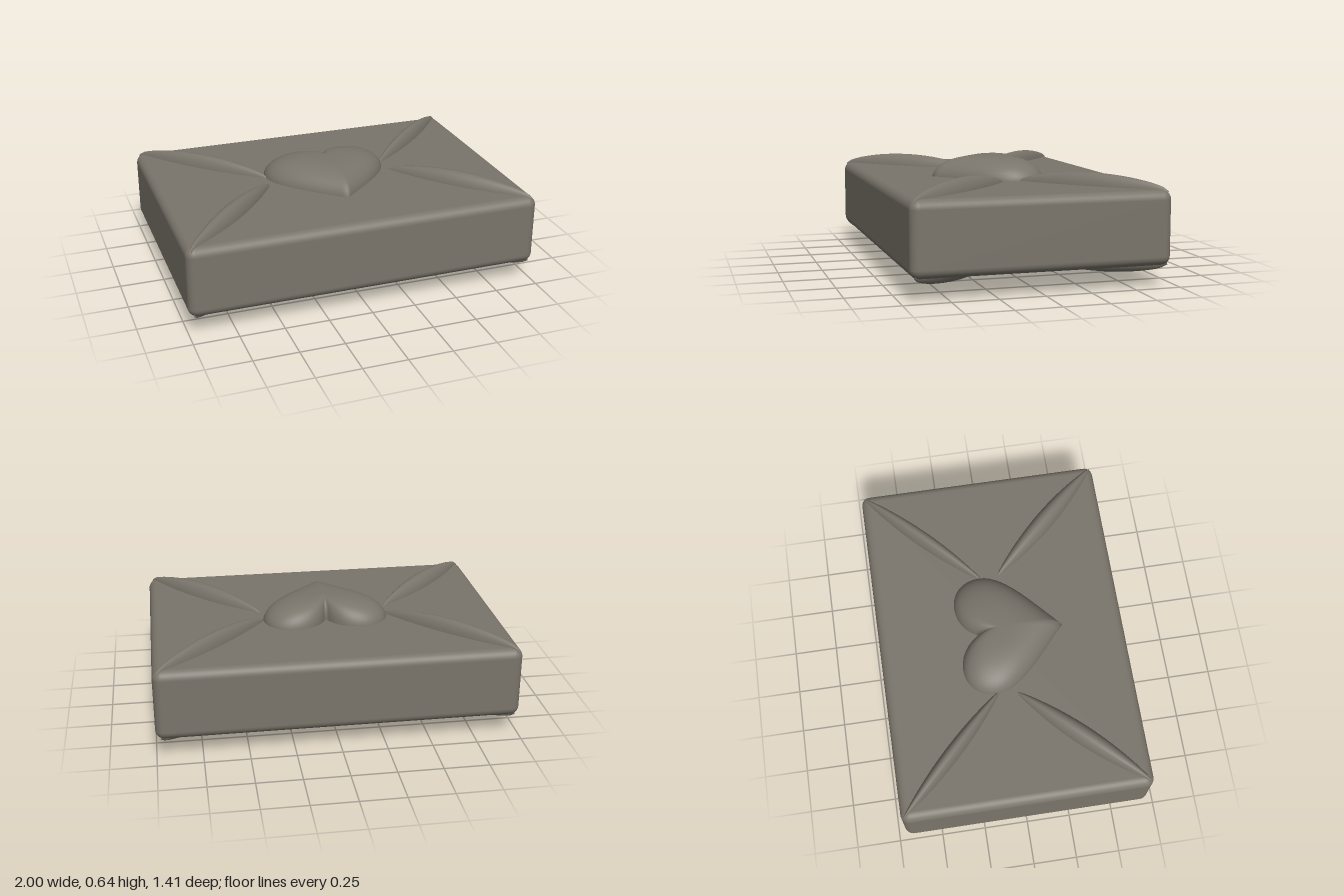
import * as THREE from 'three';
import { RoundedBoxGeometry } from 'three/addons/geometries/RoundedBoxGeometry.js';

const MID = 0.325;      // height of the middle of the envelope
const FACE = 0.2;       // half thickness of the body

// Smooth surface from rows x cols points; the columns may wrap round.
function gridSurface(rows, cols, wrap, point) {
  const pos = [], idx = [];
  for (let i = 0; i < rows; i++)
    for (let j = 0; j < cols; j++) pos.push(...point(i / (rows - 1), j));
  for (let i = 0; i < rows - 1; i++)
    for (let j = 0; j < (wrap ? cols : cols - 1); j++) {
      const k = (j + 1) % cols;
      const a = i * cols + j, b = i * cols + k, c = b + cols, d = a + cols;
      idx.push(a, d, b, b, d, c);
    }
  const g = new THREE.BufferGeometry();
  g.setAttribute('position', new THREE.Float32BufferAttribute(pos, 3));
  g.setIndex(idx);
  g.computeVertexNormals();
  return g;
}

// Puffed heart: its outline shrinks to the centre while the height swells.
function heartGeometry() {
  const half = new THREE.Path();
  half.moveTo(0, -0.12);
  half.bezierCurveTo(0.03, -0.2, 0.1, -0.25, 0.19, -0.25);
  half.bezierCurveTo(0.29, -0.25, 0.358, -0.18, 0.358, -0.08);
  half.bezierCurveTo(0.358, 0.06, 0.17, 0.2, 0, 0.355);
  const right = half.getSpacedPoints(32);
  const left = right.slice(1, -1).reverse().map(p => new THREE.Vector2(-p.x, p.y));
  const outline = [...right, ...left];
  return gridSurface(15, outline.length, true, (u, j) => {
    const r = Math.cos(u * Math.PI / 2);
    const y = FACE - 0.015 + 0.133 * Math.sqrt(Math.max(0, 1 - r ** 3));
    return [outline[j].x * r, y, outline[j].y * r];
  });
}

// Raised fold running from beside the heart to a corner.
function foldGeometry(from, to, halfWidth) {
  const cols = 29;
  const dx = to[0] - from[0], dz = to[1] - from[1], len = Math.hypot(dx, dz);
  return gridSurface(13, cols, false, (u, j) => {
    const t = j / (cols - 1);
    const swell = Math.max(0, Math.sin(Math.PI * t));
    const angle = Math.PI * u;
    const across = -Math.cos(angle) * (0.006 + halfWidth * swell ** 0.8);
    const y = FACE - 0.025 + Math.sin(angle) * (0.02 + 0.075 * swell ** 0.6);
    return [from[0] + dx * t - dz / len * across, y, from[1] + dz * t + dx / len * across];
  });
}

export function createModel() {
  const model = new THREE.Group();
  model.name = 'envelope';
  const stone = new THREE.MeshStandardMaterial({ color: 0x7a756b });
  stone.name = 'warm grey';

  const body = new THREE.Mesh(new RoundedBoxGeometry(2, FACE * 2, 1.41, 5, 0.05), stone);
  body.name = 'body';
  body.position.y = MID;
  model.add(body);

  const heart = heartGeometry();
  const folds = [];
  for (const s of [1, -1]) {
    folds.push(foldGeometry([s * 0.34, -0.06], [s * 0.975, -0.685], 0.04));
    folds.push(foldGeometry([s * 0.36, 0.03], [s * 0.975, 0.685], 0.052));
  }

  // The same relief on the upper and lower face
  for (const [name, turn] of [['upperRelief', 0], ['lowerRelief', Math.PI]]) {
    const relief = new THREE.Group();
    relief.name = name;
    const seal = new THREE.Mesh(heart, stone);
    seal.name = 'heartSeal';
    relief.add(seal);
    for (const g of folds) {
      const fold = new THREE.Mesh(g, stone);
      fold.name = 'cornerFold';
      relief.add(fold);
    }
    relief.position.y = MID;
    relief.rotation.z = turn;
    model.add(relief);
  }
  return model;
}
